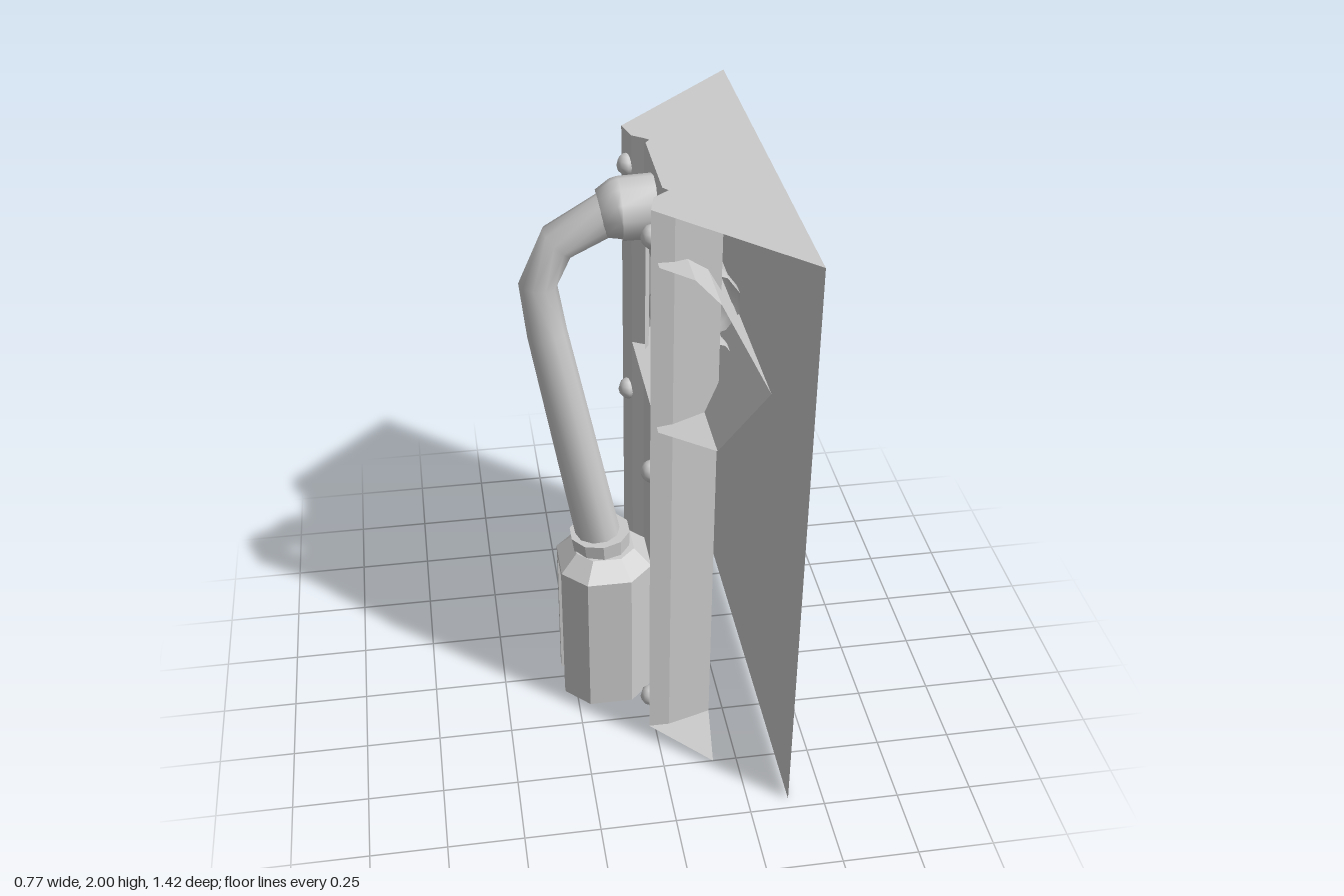
import * as THREE from 'three';

const grey = new THREE.MeshStandardMaterial({ color: 0xcccccc, side: THREE.DoubleSide });
const flat = new THREE.MeshStandardMaterial({ color: 0xcccccc, side: THREE.DoubleSide, flatShading: true });

function part(parent, name, geometry, material = flat) {
  const mesh = new THREE.Mesh(geometry, material);
  mesh.name = name;
  parent.add(mesh);
  return mesh;
}

// Strip of quads between two matching lists of points
function strip(a, b) {
  const pos = [];
  for (let i = 0; i < a.length - 1; i++) {
    pos.push(...a[i], ...b[i], ...b[i + 1], ...a[i], ...b[i + 1], ...a[i + 1]);
  }
  const g = new THREE.BufferGeometry();
  g.setAttribute('position', new THREE.Float32BufferAttribute(pos, 3));
  g.computeVertexNormals();
  return g;
}

// Upright sheet following [x, z] points
const wall = (pts, y0, y1) => strip(pts.map(([x, z]) => [x, y0, z]), pts.map(([x, z]) => [x, y1, z]));

// Horizontal sheet from [x, z] points
function sheet(pts, y) {
  const shape = new THREE.Shape(pts.map(([x, z]) => new THREE.Vector2(x, -z)));
  return new THREE.ShapeGeometry(shape).rotateX(-Math.PI / 2).translate(0, y, 0);
}

// Tube of rings along a path in the x-y plane
function taperedTube(path, radii, sides) {
  const rings = path.map(([x, y], i) => {
    const p = path[Math.max(i - 1, 0)], q = path[Math.min(i + 1, path.length - 1)];
    const len = Math.hypot(q[0] - p[0], q[1] - p[1]);
    const nx = -(q[1] - p[1]) / len, ny = (q[0] - p[0]) / len;
    return Array.from({ length: sides }, (_, k) => {
      const t = (k / sides) * Math.PI * 2, c = Math.cos(t) * radii[i];
      return [x + nx * c, y + ny * c, Math.sin(t) * radii[i]];
    });
  });
  const index = [];
  for (let i = 0; i < rings.length - 1; i++) {
    for (let k = 0; k < sides; k++) {
      const a = i * sides + k, b = i * sides + (k + 1) % sides;
      index.push(a, a + sides, b, b, a + sides, b + sides);
    }
  }
  const g = new THREE.BufferGeometry();
  g.setAttribute('position', new THREE.Float32BufferAttribute(rings.flat(2), 3));
  g.setIndex(index);
  g.computeVertexNormals();
  return g;
}

export function createModel() {
  const model = new THREE.Group();
  model.name = 'wallUnit';

  // Large mounting panel and the cap on top
  part(model, 'mountingPanel', wall([[0.385, 0.71], [0.385, -0.71]], 0, 2));
  const edge = [[0.385, 0.71], [-0.02, 0.3], [0, 0.22], [0.03, 0.2], [0.05, 0.18], [0.035, 0.16]];
  part(model, 'topCap', sheet([...edge, ...edge.map(([x, z]) => [x, -z]).reverse()], 2));

  // Sunken plates below and above the pipe opening
  part(model, 'lowerBackPlate', wall([[0.035, 0.2], [0.035, -0.2]], 0, 1.26));
  part(model, 'upperBackPlate', wall([[0.035, 0.2], [0.035, -0.2]], 1.83, 2));

  // V-shaped recess behind the pipes, its ends cut on a slant
  const recess = [[0.0, 1.26], [0.155, 1.28], [0.28, 1.55], [0.155, 1.78], [0.09, 1.83], [0.0, 1.83]];
  part(model, 'pipeRecess', strip(
    recess.map(([x, y]) => [x, y, x + 0.33]),
    recess.map(([x, y]) => [x, y, -x - 0.33])));

  // Side posts with feet and rivets
  for (const s of [1, -1]) {
    const post = new THREE.Group();
    post.name = s > 0 ? 'frontPost' : 'backPost';
    model.add(post);
    const m = (pts) => pts.map(([x, z]) => [x, z * s]);
    part(post, 'postWall', wall(m([[0.2, 0.255], [0.05, 0.3], [-0.02, 0.3], [0, 0.22], [0.05, 0.18], [0.035, 0.16]]), 0, 2));
    part(post, 'foot', sheet(m([[0.17, 0.5], [0.2, 0.255], [0.035, 0.19], [0, 0.21], [-0.02, 0.3]]), 0));
    for (const y of [0.1, 1.06, 1.89]) {
      const rivet = part(post, 'rivet', new THREE.SphereGeometry(0.037, 8, 6), grey);
      rivet.scale.x = 0.9;
      rivet.position.set(-0.01, y, s * 0.25);
    }
  }

  // Two open cross pipes with collars at the ends
  const pipeProfile = [[0.11, -0.22], [0.11, -0.17], [0.097, -0.15], [0.097, 0.15], [0.11, 0.17], [0.11, 0.22]]
    .map(([r, z]) => new THREE.Vector2(r, z));
  for (const y of [1.395, 1.63]) {
    const pipe = part(model, 'crossPipe', new THREE.LatheGeometry(pipeProfile, 10), grey);
    pipe.rotation.x = Math.PI / 2;
    pipe.position.set(0.16, y, 0);
  }

  // Eight-sided canister with a slot in its outer face
  const canister = new THREE.Group();
  canister.name = 'canister';
  model.add(canister);
  const outline = [[-0.29, 0.08], [-0.21, 0.16], [-0.06, 0.16], [0.02, 0.08], [0.02, -0.08], [-0.06, -0.16], [-0.21, -0.16], [-0.29, -0.08]];
  const slot = [[-0.29, -0.055], [-0.265, -0.055], [-0.265, 0.055], [-0.29, 0.055]];
  const closed = (pts) => [...pts, pts[0]];
  const shoulder = outline.map(([x, z]) => [-0.135 + (x + 0.135) * 0.64, z * 0.64]);
  part(canister, 'slottedBody', wall(closed([...outline, ...slot]), 0, 0.51));
  part(canister, 'bodyTop', wall(closed(outline), 0.51, 0.54));
  part(canister, 'slotLintel', sheet(slot, 0.51));
  part(canister, 'base', sheet([...outline, ...slot], 0));
  part(canister, 'shoulder', strip(
    closed(outline).map(([x, z]) => [x, 0.54, z]),
    closed(shoulder).map(([x, z]) => [x, 0.6, z])));
  part(canister, 'canisterTop', sheet(shoulder, 0.6));
  const collar = part(canister, 'collar', new THREE.CylinderGeometry(0.105, 0.098, 0.075, 10));
  collar.position.set(-0.145, 0.617, 0);
  collar.rotation.z = 0.06;

  // Bent hose and its wall fitting
  part(model, 'hose', taperedTube(
    [[-0.145, 0.6], [-0.302, 1.45], [-0.325, 1.625], [-0.262, 1.765], [-0.08, 1.865]],
    [0.077, 0.064, 0.061, 0.064, 0.07], 10), grey);
  part(model, 'hoseFitting', taperedTube(
    [[-0.13, 1.85], [-0.125, 1.85], [-0.075, 1.862], [-0.07, 1.863], [0.05, 1.865]],
    [0.04, 0.075, 0.095, 0.098, 0.1], 12), grey);

  return model;
}
